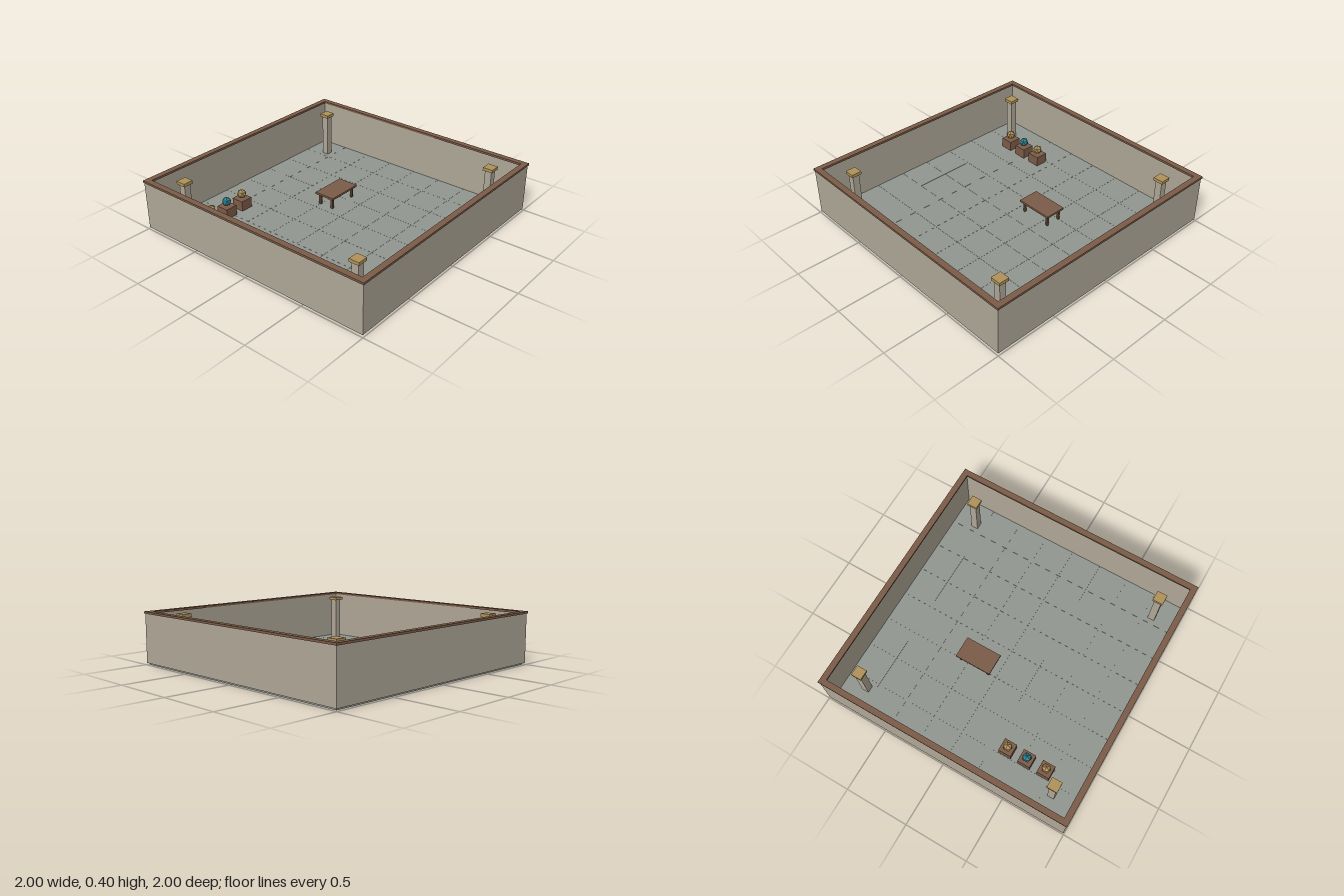
import * as THREE from 'three';

const material = (color) => new THREE.MeshStandardMaterial({ color, flatShading: true });
const stone = material(0xb0a898);
const slate = material(0x929792);
const wood = material(0x7c5c48);
const darkWood = material(0x63493a);
const gold = material(0xb0935a);
const teal = material(0x2f8596);

// Box given by its centre in plan and its bottom and top heights
function block(parent, name, mat, x, z, w, d, y0, y1) {
  const mesh = new THREE.Mesh(new THREE.BoxGeometry(w, y1 - y0, d), mat);
  mesh.name = name;
  mesh.position.set(x, (y0 + y1) / 2, z);
  parent.add(mesh);
  return mesh;
}

// Square ring with a square opening, between two heights
function frame(parent, name, mat, outer, inner, y0, y1) {
  const square = (Type, r) => new Type([[-r, -r], [r, -r], [r, r], [-r, r]].map(([x, y]) => new THREE.Vector2(x, y)));
  const shape = square(THREE.Shape, outer);
  shape.holes.push(square(THREE.Path, inner));
  const geometry = new THREE.ExtrudeGeometry(shape, { depth: y1 - y0, bevelEnabled: false });
  geometry.rotateX(-Math.PI / 2);
  const mesh = new THREE.Mesh(geometry, mat);
  mesh.name = name;
  mesh.position.y = y0;
  parent.add(mesh);
}

export function createModel() {
  const room = new THREE.Group();
  room.name = 'room';
  const floorY = 0.02;

  // Floor slab with thin, closely laid tiles
  block(room, 'floorSlab', slate, 0, 0, 1.956, 1.956, 0, 0.018);
  const tiles = new THREE.Group();
  tiles.name = 'floorTiles';
  room.add(tiles);
  const pitch = 0.243;
  for (let i = 0; i < 8; i++) {
    for (let j = 0; j < 8; j++) {
      block(tiles, 'tile', slate, (i - 3.5) * pitch, (j - 3.5) * pitch, pitch - 0.001, pitch - 0.001, 0.016, floorY);
    }
  }

  // Walls and the wooden trim on top
  frame(room, 'walls', stone, 0.994, 0.965, 0.014, 0.385);
  frame(room, 'wallTrim', wood, 1, 0.955, 0.384, 0.4);

  // Corner pillars
  for (const sx of [-1, 1]) {
    for (const sz of [-1, 1]) {
      const pillar = new THREE.Group();
      pillar.name = 'pillar';
      pillar.position.set(sx * 0.793, 0, sz * 0.793);
      block(pillar, 'pillarShaft', stone, 0, 0, 0.054, 0.054, floorY, 0.362);
      block(pillar, 'pillarCap', gold, 0, 0, 0.08, 0.08, 0.36, 0.384);
      room.add(pillar);
    }
  }

  // Three plinths, each with a faceted gem standing on its point
  const gemGeometry = new THREE.IcosahedronGeometry(0.037, 0);
  gemGeometry.rotateZ(Math.atan(2 / (1 + Math.sqrt(5))));
  gemGeometry.rotateY(-Math.PI / 2);
  [gold, teal, gold].forEach((mat, i) => {
    const display = new THREE.Group();
    display.name = 'display';
    display.position.set(-0.672 + i * 0.158, 0, -0.675);
    block(display, 'plinth', wood, 0, 0, 0.1, 0.1, floorY, 0.1);
    const gem = new THREE.Mesh(gemGeometry, mat);
    gem.name = 'gem';
    gem.position.y = 0.136;
    display.add(gem);
    room.add(display);
  });

  // Table
  const table = new THREE.Group();
  table.name = 'table';
  table.position.set(0.183, 0, -0.187);
  block(table, 'tableTop', wood, 0, 0, 0.29, 0.17, 0.106, 0.122);
  for (const sx of [-1, 1]) {
    for (const sz of [-1, 1]) {
      block(table, 'tableLeg', darkWood, sx * 0.118, sz * 0.058, 0.017, 0.017, floorY, 0.107);
    }
  }
  room.add(table);

  return room;
}
